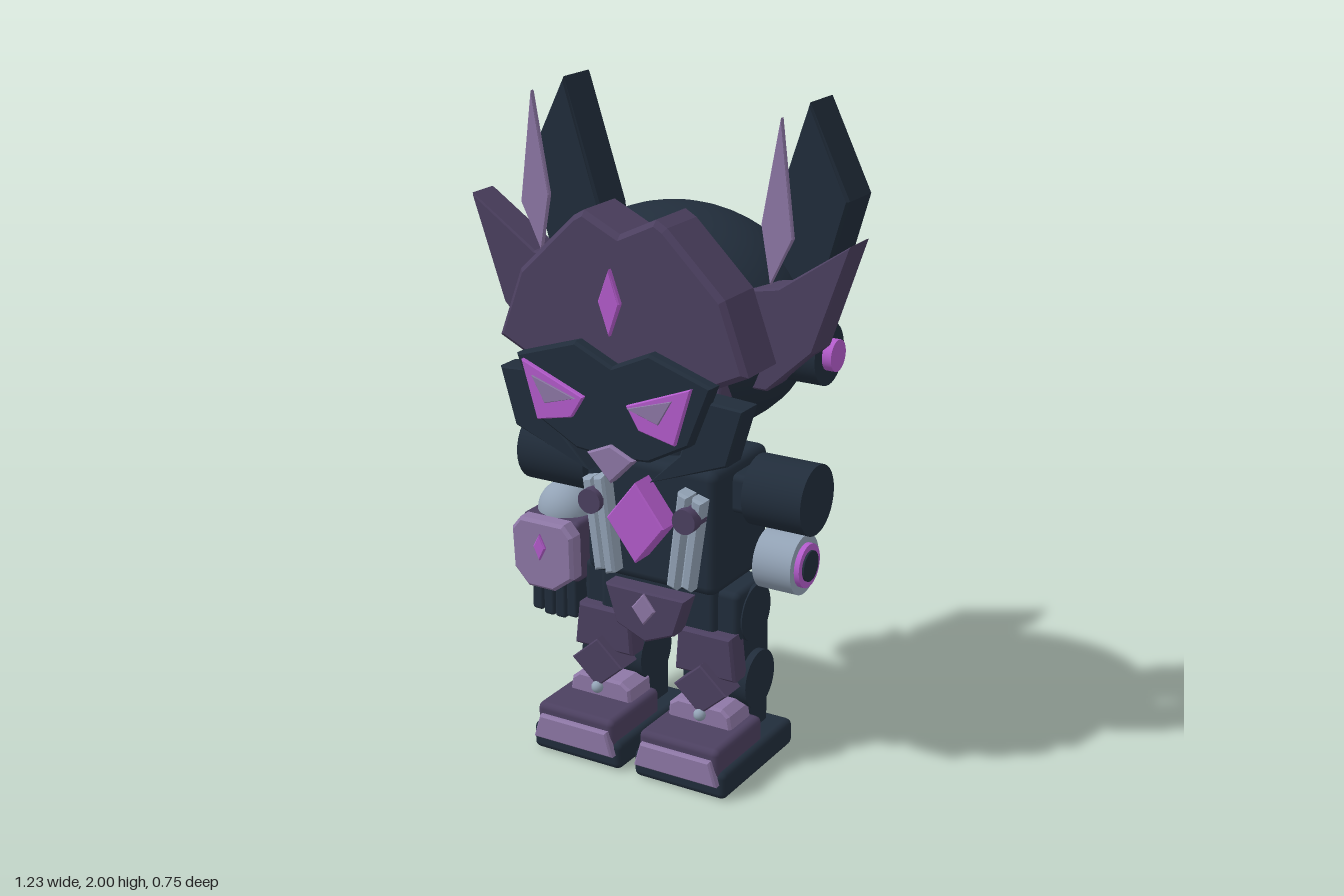
import * as THREE from 'three';
import { RoundedBoxGeometry } from 'three/addons/geometries/RoundedBoxGeometry.js';

const material = (name, color) => {
  const m = new THREE.MeshStandardMaterial({ color });
  m.name = name;
  return m;
};

export function createModel() {
  const navy = material('dark navy', 0x212d3b);
  const purple = material('dusky purple', 0x4c4060);
  const lilac = material('lilac', 0x8e78a6);
  const magenta = material('magenta', 0xb45ccc);
  const silver = material('silver', 0x93a3b6);
  const root = new THREE.Group();
  root.name = 'robot';

  const add = (name, geometry, mat, x = 0, y = 0, z = 0) => {
    const mesh = new THREE.Mesh(geometry, mat);
    mesh.name = name;
    mesh.position.set(x, y, z);
    root.add(mesh);
    return mesh;
  };
  // Box given by its limits on each axis
  const box = (name, mat, [x0, x1], [y0, y1], [z0, z1], r = 0.02) =>
    add(name, new RoundedBoxGeometry(x1 - x0, y1 - y0, z1 - z0, 2, r), mat,
      (x0 + x1) / 2, (y0 + y1) / 2, (z0 + z1) / 2);
  // Outline in x and y, extruded from z0 to z1, bevelled inwards; s = -1 mirrors it
  const plate = (name, mat, pts, z0, z1, bevel = 0.006, s = 1) => {
    const shape = new THREE.Shape(pts.map(([x, y]) => new THREE.Vector2(x * s, y)));
    const g = new THREE.ExtrudeGeometry(shape, {
      depth: z1 - z0 - 2 * bevel, bevelEnabled: bevel > 0, bevelThickness: bevel,
      bevelSize: bevel, bevelOffset: -bevel, bevelSegments: 1,
    });
    return add(name, g, mat, 0, 0, z0 + bevel);
  };
  const diamond = (name, mat, x, y, w, h, z0, z1) =>
    plate(name, mat, [[x, y - h], [x + w, y], [x, y + h], [x - w, y]], z0, z1, 0.004);
  // Cylinder lying along x
  const axle = (name, mat, r, x0, x1, y, z) => {
    const m = add(name, new THREE.CylinderGeometry(r, r, Math.abs(x1 - x0), 32), mat, (x0 + x1) / 2, y, z);
    m.rotation.z = Math.PI / 2;
    return m;
  };
  // Full symmetric outline from its +x half
  const both = (half) => [...half, ...half.filter(p => p[0] > 0).reverse().map(([x, y]) => [-x, y])];

  // Head
  add('skull', new THREE.SphereGeometry(1, 40, 28), navy, 0, 1.345, -0.055).scale.set(0.41, 0.335, 0.322);
  add('neck', new THREE.CylinderGeometry(0.1, 0.1, 0.14, 24), navy, 0, 0.99, -0.05);
  plate('faceBlock', purple, both([[0, 1.4], [0.28, 1.4], [0.28, 1.2], [0.2, 1.07], [0, 1.07]]), 0, 0.2);
  plate('helmetBrow', purple, both([[0, 1.655], [0.115, 1.71], [0.15, 1.69], [0.33, 1.515], [0.405, 1.31],
    [0.3, 1.26], [0, 1.26]]), 0.095, 0.28, 0.015);
  plate('mask', navy, both([[0, 1.29], [0.12, 1.345], [0.32, 1.28], [0.25, 1.1], [0.12, 1.03], [0, 1.02]]),
    0.265, 0.318, 0.008);
  plate('chin', lilac, both([[0, 1.065], [0.078, 1.03], [0, 0.95]]), 0.285, 0.33);
  diamond('foreheadGem', magenta, 0, 1.475, 0.035, 0.095, 0.31, 0.33);

  for (const s of [-1, 1]) {
    plate('ear', navy, [[0.4, 2], [0.275, 1.62], [0.265, 1.4], [0.43, 1.4], [0.527, 1.74]], -0.21, -0.062, 0.008, s);
    plate('innerEar', lilac, [[0.4, 1.985], [0.345, 1.69], [0.375, 1.525], [0.442, 1.66]], 0.083, 0.1, 0.003, s);
    plate('cheekFin', purple, [[0.617, 1.665], [0.4, 1.52], [0.29, 1.5], [0.28, 1.22], [0.37, 1.22], [0.51, 1.35]],
      -0.012, 0.1, 0.006, s);
    plate('jawGuard', navy, [[0.4, 1.22], [0.25, 1.23], [0.2, 1.06], [0.1, 0.957], [0.35, 1.05]], 0.2, 0.285, 0.006, s);
    plate('eye', magenta, [[0.275, 1.28], [0.07, 1.2], [0.11, 1.135], [0.225, 1.11]], 0.338, 0.356, 0.003, s);
    plate('eyeGlint', lilac, [[0.228, 1.245], [0.085, 1.2], [0.185, 1.17]], 0.368, 0.376, 0.002, s);
    axle('earHub', navy, 0.09, s * 0.3, s * 0.49, 1.31, -0.043);
    axle('earHubCap', magenta, 0.046, s * 0.48, s * 0.518, 1.31, -0.043);
  }

  // Torso
  box('torso', navy, [-0.222, 0.222], [0.565, 0.952], [-0.205, 0.12], 0.03);
  box('pelvis', navy, [-0.2, 0.2], [0.42, 0.58], [-0.14, 0.08]);
  diamond('chestGem', magenta, 0, 0.785, 0.097, 0.125, 0.11, 0.2);
  plate('crotchGuard', purple, both([[0, 0.55], [0.138, 0.55], [0.1, 0.43], [0, 0.388]]), 0.08, 0.148);
  diamond('crotchGem', lilac, 0, 0.497, 0.04, 0.05, 0.145, 0.158);
  for (const s of [-1, 1]) {
    for (const dx of [0, 0.043]) {
      plate('chestStrip', silver, [[0.205 - dx, 0.875 + dx * 0.3], [0.168 - dx, 0.885 + dx * 0.3],
        [0.118 + 0.043 - dx - 0.03, 0.6], [0.165 - dx, 0.59]], 0.115, 0.165 + dx * 0.2, 0.008, s);
    }
    add('chestKnob', new THREE.CylinderGeometry(0.038, 0.038, 0.07, 24), purple, s * 0.16, 0.82, 0.16)
      .rotation.x = Math.PI / 2;
  }

  // Right arm with hand
  axle('rightShoulder', navy, 0.112, -0.498, -0.262, 0.873, -0.04);
  box('rightShoulderLink', navy, [-0.3, -0.18], [0.8, 0.92], [-0.1, 0.02]);
  add('rightElbow', new THREE.SphereGeometry(0.09, 28, 20), silver, -0.38, 0.685, -0.02);
  box('rightHand', purple, [-0.48, -0.275], [0.49, 0.685], [-0.1, 0.08], 0.015);
  plate('rightHandGuard', lilac, [[-0.455, 0.69], [-0.3, 0.69], [-0.268, 0.655], [-0.265, 0.52], [-0.335, 0.468],
    [-0.43, 0.468], [-0.48, 0.52], [-0.487, 0.65]], 0.07, 0.13, 0.01);
  diamond('rightHandGem', magenta, -0.38, 0.607, 0.022, 0.043, 0.125, 0.139);
  for (let i = 0; i < 4; i++) {
    const x = -0.463 + i * 0.042;
    box('finger', navy, [x, x + 0.039], [i % 3 ? 0.35 : 0.36, 0.52], [-0.05, 0.06], 0.01);
  }

  // Left arm with blaster
  axle('leftShoulder', navy, 0.106, 0.275, 0.465, 0.87, -0.04);
  box('leftShoulderLink', navy, [0.18, 0.3], [0.8, 0.92], [-0.1, 0.02]);
  axle('blaster', silver, 0.09, 0.33, 0.452, 0.685, 0.005);
  axle('blasterRing', magenta, 0.066, 0.44, 0.468, 0.685, 0.005);
  axle('blasterBore', navy, 0.046, 0.45, 0.474, 0.685, 0.005);

  // Legs
  for (const s of [-1, 1]) {
    const span = (a, b) => (s > 0 ? [a, b] : [-b, -a]);
    box('hip', navy, span(0.08, 0.268), [0.4, 0.567], [-0.13, 0.06]);
    axle('hipJoint', navy, 0.088, s * 0.09, s * 0.272, 0.475, -0.043);
    box('leg', navy, span(0.085, 0.265), [0.07, 0.42], [-0.14, 0.035], 0.015);
    axle('kneeJoint', navy, 0.09, s * 0.075, s * 0.287, 0.262, -0.043);
    plate('thighGuard', purple, [[0.265, 0.44], [0.085, 0.44], [0.075, 0.302], [0.28, 0.302]], 0.02, 0.1, 0.008, s);
    diamond('kneeGuard', purple, s * 0.18, 0.27, 0.09, 0.08, 0.03, 0.132);
    plate('ankleGuard', lilac, [[0.25, 0.22], [0.1, 0.22], [0.07, 0.2], [0.065, 0.14], [0.285, 0.14], [0.275, 0.2]],
      0, 0.125, 0.008, s);
    add('ankleBolt', new THREE.SphereGeometry(0.019, 16, 12), silver, s * 0.18, 0.19, 0.13);
    box('footCap', purple, span(0.045, 0.315), [0.06, 0.16], [-0.015, 0.26], 0.02);
    plate('toePlate', lilac, [[0.295, 0.128], [0.06, 0.128], [0.038, 0.05], [0.318, 0.05]], 0.245, 0.277, 0.006, s);
    box('sole', navy, span(0.023, 0.335), [0, 0.087], [-0.175, 0.253], 0.02);
  }
  return root;
}
